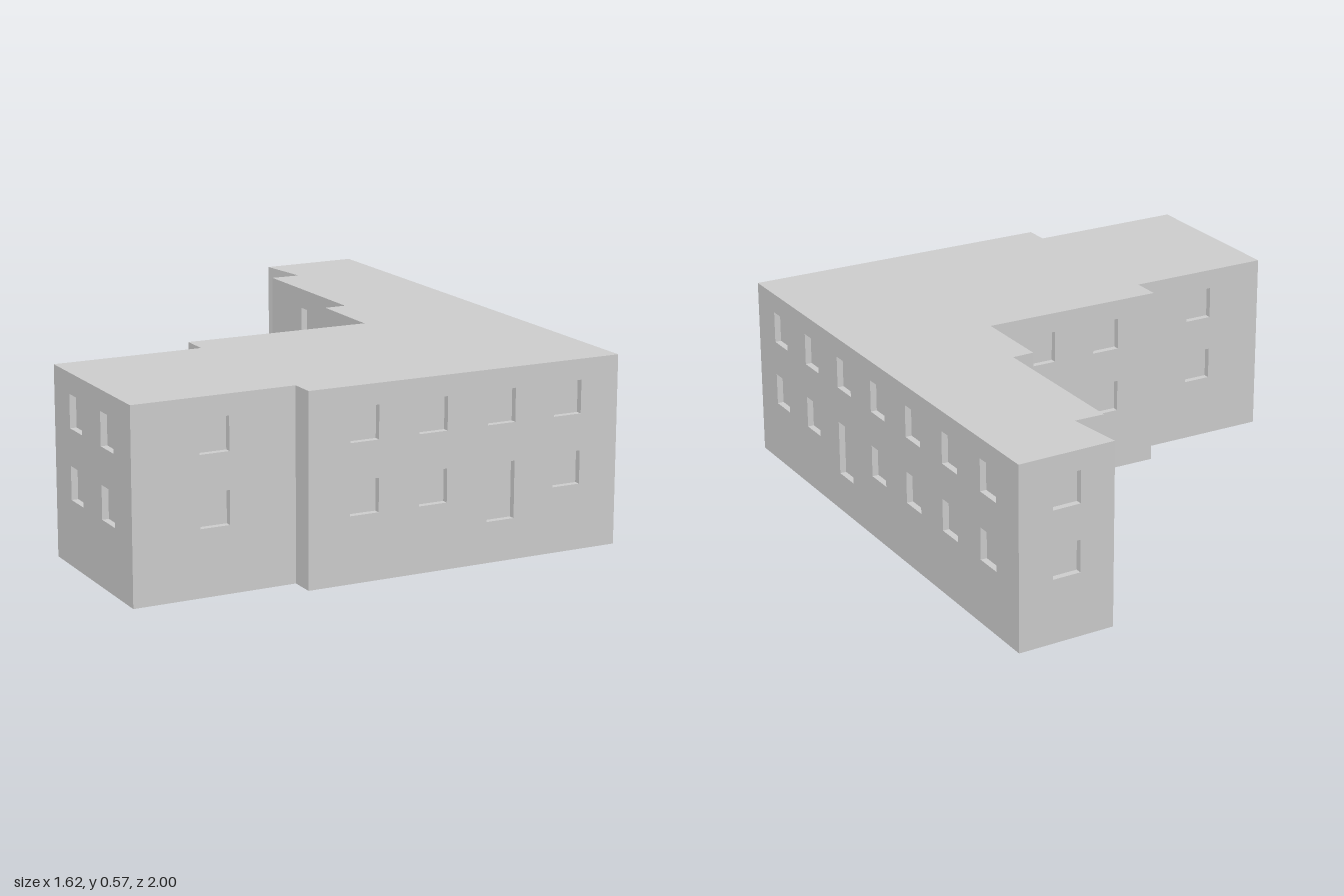
import * as THREE from 'three';

const HEIGHT = 0.57;
const DEPTH = 0.02; // how far the panes sit behind the wall
const WIDTH = 0.09;
const UPPER = [0.408, 0.508], LOWER = [0.198, 0.298], DOOR = [0.123, 0.294];

// Footprint corners [x, z], each with the bay positions (0..1) along the wall
// that starts there, and the index of the bay holding a door.
const WALLS = [
  { name: 'backEndWall', at: [0.26, -1], bays: [0.5] },
  { name: 'backNotchSide', at: [-0.03, -0.89] },
  { name: 'backNotchReturn', at: [0.05, -0.73] },
  { name: 'wingInnerWall', at: [-0.04, -0.7], bays: [0.5] },
  { name: 'wingStep', at: [0.13, -0.22] },
  { name: 'innerCornerWall', at: [0.065, -0.195], bays: [0.48] },
  { name: 'courtWall', at: [0.15, 0.05], bays: [0.31, 0.7] },
  { name: 'courtStep', at: [-0.405, 0.24] },
  { name: 'backLowWall', at: [-0.375, 0.325], bays: [0.5] },
  { name: 'sideEndWall', at: [-0.81, 0.478], bays: [0.29, 0.7] },
  { name: 'frontSetbackWall', at: [-0.63, 0.995], bays: [0.5] },
  { name: 'frontStep', at: [-0.163, 0.828] },
  { name: 'frontWall', at: [-0.137, 0.9], bays: [0.174, 0.392, 0.613, 0.832], door: 2 },
  { name: 'longWall', at: [0.81, 0.572], bays: [0, 1, 2, 3, 4, 5, 6].map(i => 0.097 + i * 0.1335), door: 2 },
];

const material = new THREE.MeshStandardMaterial({
  color: 0xcccccc, flatShading: true, side: THREE.DoubleSide,
});

function addMesh(parent, name, geometry) {
  const mesh = new THREE.Mesh(geometry, material);
  mesh.name = name;
  parent.add(mesh);
  return mesh;
}

// Box without its front face: the reveals and pane of an opening
function recessGeometry(w, h) {
  const g = new THREE.BoxGeometry(w, h, DEPTH);
  const index = Array.from(g.index.array);
  index.splice(24, 6);
  g.setIndex(index);
  g.clearGroups();
  return g;
}

// One wall, left to right as seen from outside, with recessed openings
function buildWall({ name, at, bays = [], door = -1 }, end) {
  const dx = end[0] - at[0], dz = end[1] - at[1];
  const length = Math.hypot(dx, dz);
  const wall = new THREE.Group();
  wall.name = name;
  wall.position.set(at[0], 0, at[1]);
  wall.rotation.y = Math.atan2(-dz, dx);

  const face = new THREE.Shape([
    new THREE.Vector2(0, 0), new THREE.Vector2(length, 0),
    new THREE.Vector2(length, HEIGHT), new THREE.Vector2(0, HEIGHT),
  ]);
  bays.forEach((t, i) => {
    const x = t * length, l = x - WIDTH / 2, r = x + WIDTH / 2;
    for (const [bottom, top] of [UPPER, i === door ? DOOR : LOWER]) {
      face.holes.push(new THREE.Path([
        new THREE.Vector2(l, bottom), new THREE.Vector2(l, top),
        new THREE.Vector2(r, top), new THREE.Vector2(r, bottom),
      ]));
      const isDoor = bottom === DOOR[0];
      addMesh(wall, isDoor ? 'door' : 'window', recessGeometry(WIDTH, top - bottom))
        .position.set(x, (bottom + top) / 2, -DEPTH / 2);
    }
  });
  addMesh(wall, 'wallFace', new THREE.ShapeGeometry(face));
  return wall;
}

export function createModel() {
  const building = new THREE.Group();
  building.name = 'building';

  WALLS.forEach((wall, i) => building.add(buildWall(wall, WALLS[(i + 1) % WALLS.length].at)));

  // Flat roof over the footprint; the underside stays open
  const outline = new THREE.Shape(WALLS.map(({ at }) => new THREE.Vector2(at[0], -at[1])));
  const roof = addMesh(building, 'roof', new THREE.ShapeGeometry(outline).rotateX(-Math.PI / 2));
  roof.position.y = HEIGHT;

  return building;
}
